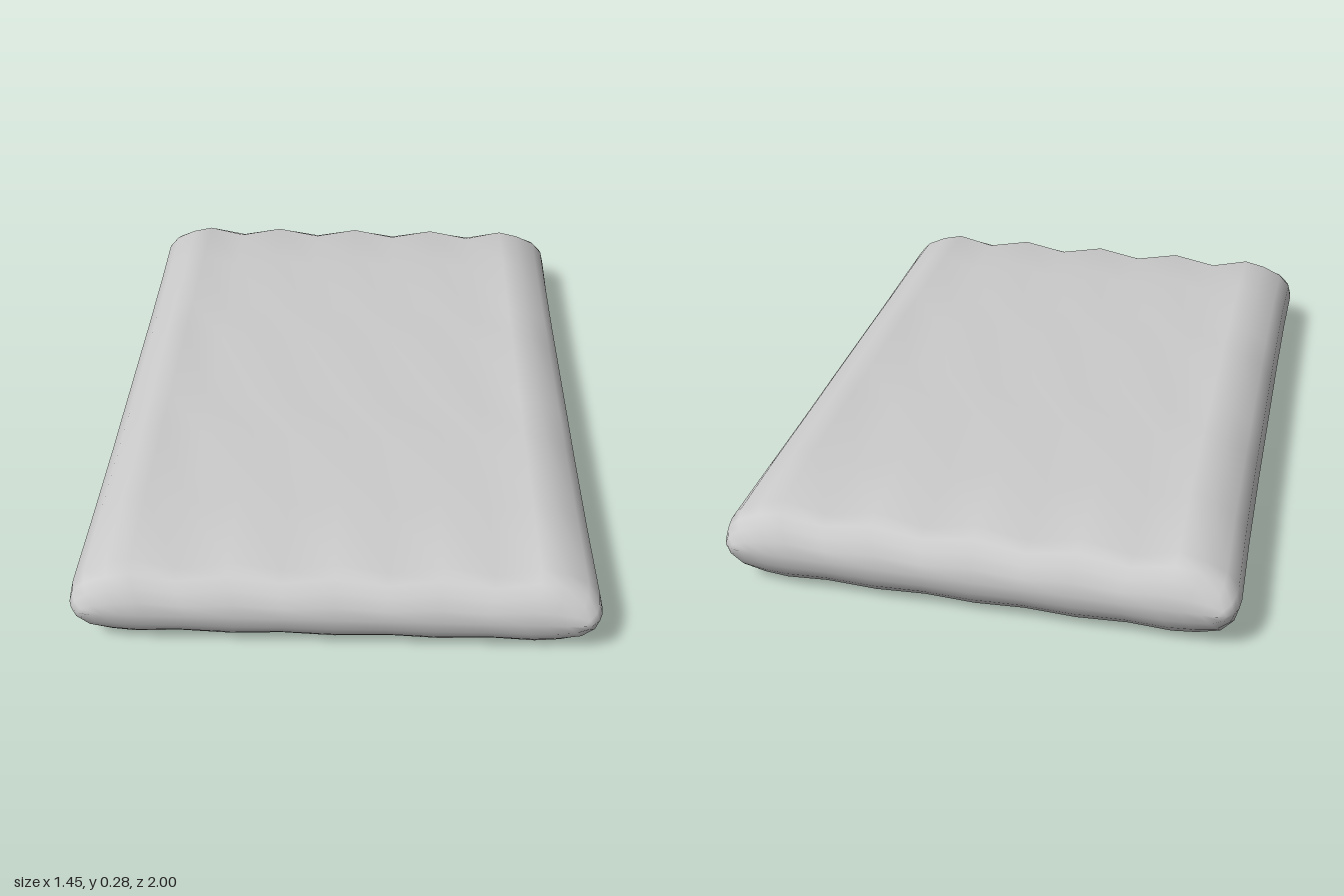
import * as THREE from 'three';
import { mergeVertices } from 'three/addons/utils/BufferGeometryUtils.js';

const MID = 0.135; // height of the side seam

// Half cross-section from the side seam to the centre: x, height above seam, depth below seam
const half = [
  [0.725, 0, 0], [0.714, 0.052, 0.055], [0.68, 0.098, 0.105], [0.617, 0.132, 0.126],
  [0.55, 0.15, 0.135], [0.43, 0.117, 0.126], [0.287, 0.15, 0.135], [0.144, 0.117, 0.126], [0, 0.15, 0.135],
];

// Stations along half the length: z, top scale, bottom scale, width scale
const stations = [
  [1, 0, 0, 0.92], [0.993, 0.27, 0.3, 0.955], [0.975, 0.52, 0.57, 0.982], [0.95, 0.71, 0.79, 0.995],
  [0.915, 0.85, 0.93, 1], [0.67, 0.965, 0.985, 0.993], [0.35, 0.985, 1, 0.99], [0.18, 1, 1, 0.99],
];

function createMattressGeometry() {
  // Closed loop: over the ribbed top from +x to -x, then back along the bottom
  const top = [...half.map(([x, h]) => [x, h]), ...half.slice(0, -1).reverse().map(([x, h]) => [-x, h])];
  const bottom = [...half.slice(1).map(([x, , d]) => [-x, -d]), ...half.slice(1, -1).reverse().map(([x, , d]) => [x, -d])];
  const loop = [...top, ...bottom];
  const rings = [...stations.map(([z, ...s]) => [-z, ...s]), ...stations.slice().reverse()];

  const positions = [];
  for (const [z, up, down, wide] of rings) {
    for (const [x, y] of loop) {
      const taper = wide * (0.994 + 0.008 * z); // slightly wider at the front
      positions.push(x * taper, MID + y * (y > 0 ? up : down), z);
    }
  }

  const n = loop.length;
  const index = [];
  for (let i = 0; i < rings.length - 1; i++) {
    for (let j = 0; j < n; j++) {
      const a = i * n + j, b = i * n + (j + 1) % n;
      index.push(a, b, a + n, b, b + n, a + n);
    }
  }

  let geometry = new THREE.BufferGeometry();
  geometry.setAttribute('position', new THREE.Float32BufferAttribute(positions, 3));
  geometry.setIndex(index);
  geometry = mergeVertices(geometry, 1e-5); // weld the end seams so they shade smoothly
  geometry.computeVertexNormals();
  return geometry;
}

export function createModel() {
  const group = new THREE.Group();
  group.name = 'airMattress';
  const mattress = new THREE.Mesh(createMattressGeometry(), new THREE.MeshStandardMaterial({ color: 0xcccccc }));
  mattress.name = 'ribbedMattress';
  group.add(mattress);
  return group;
}
